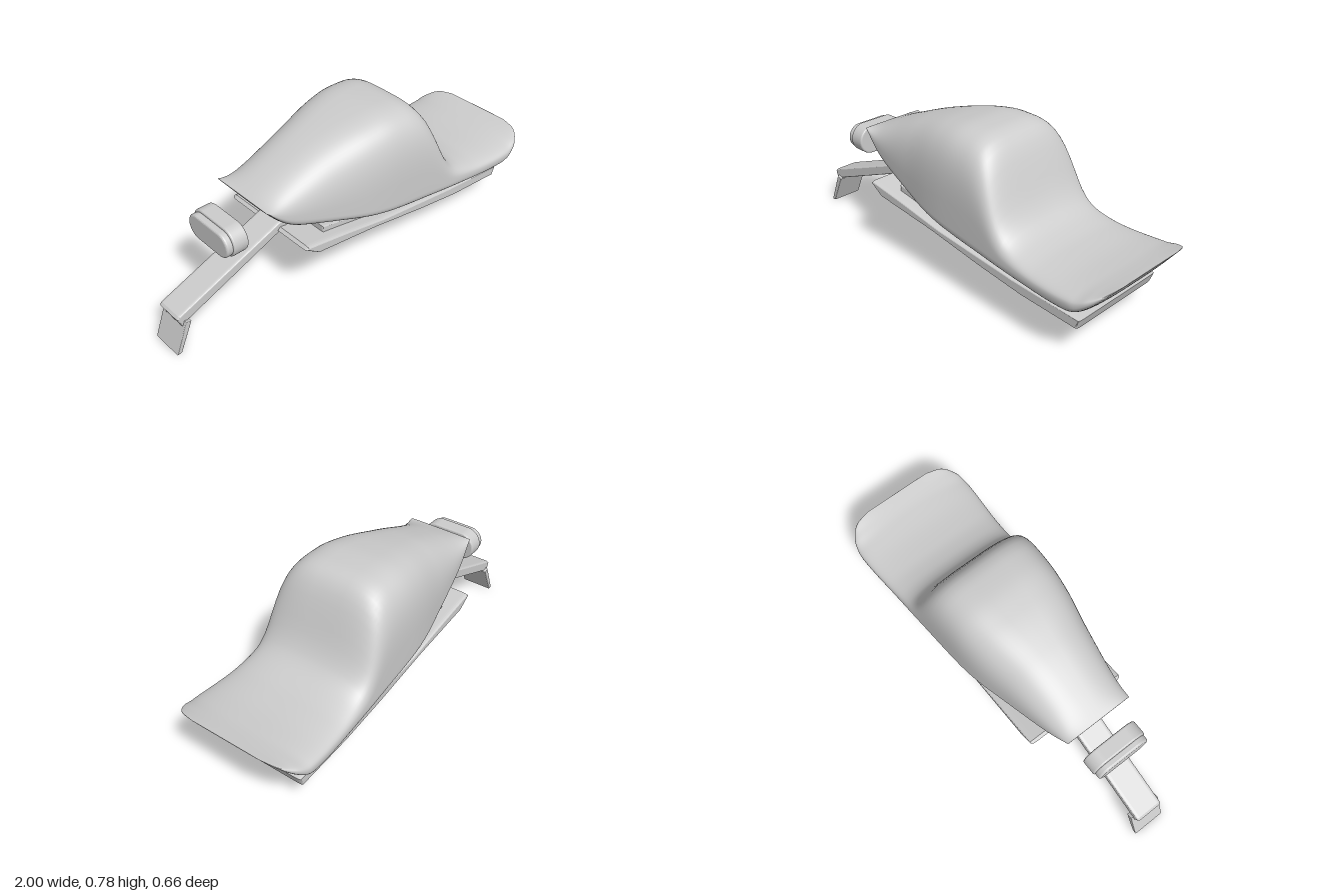
import * as THREE from 'three';

const grey = new THREE.MeshStandardMaterial({ color: 0xcccccc });
grey.name = 'light grey';

// Monotone cubic through [x, value] points
function curve(pts) {
  const n = pts.length;
  const d = [];
  for (let i = 0; i < n - 1; i++) d.push((pts[i + 1][1] - pts[i][1]) / (pts[i + 1][0] - pts[i][0]));
  const m = pts.map((_, i) => {
    if (i === 0) return d[0];
    if (i === n - 1) return d[n - 2];
    return d[i - 1] * d[i] <= 0 ? 0 : (2 * d[i - 1] * d[i]) / (d[i - 1] + d[i]);
  });
  return (x) => {
    let i = 0;
    while (i < n - 2 && x > pts[i + 1][0]) i++;
    const h = pts[i + 1][0] - pts[i][0];
    const t = (x - pts[i][0]) / h, t2 = t * t, t3 = t2 * t;
    return (2 * t3 - 3 * t2 + 1) * pts[i][1] + (t3 - 2 * t2 + t) * h * m[i]
      + (3 * t2 - 2 * t3) * pts[i + 1][1] + (t3 - t2) * h * m[i + 1];
  };
}

// Superelliptic sections along x: top, bottom, widest height and half width
function cushionGeometry() {
  const top = curve([[-0.55, 0.582], [-0.4, 0.645], [-0.2, 0.72], [0, 0.77], [0.13, 0.785], [0.22, 0.781],
    [0.28, 0.764], [0.33, 0.715], [0.38, 0.615], [0.43, 0.5], [0.48, 0.428], [0.55, 0.385], [0.65, 0.361],
    [0.77, 0.354], [0.88, 0.36], [1, 0.379]]);
  const bottom = curve([[-0.55, 0.578], [-0.5, 0.51], [-0.45, 0.455], [-0.4, 0.42], [-0.33, 0.395],
    [-0.2, 0.355], [0, 0.298], [0.2, 0.262], [0.4, 0.238], [0.6, 0.219], [0.82, 0.205], [0.87, 0.228],
    [0.93, 0.285], [1, 0.376]]);
  const mid = curve([[-0.55, 0.58], [-0.45, 0.51], [-0.3, 0.455], [0, 0.375], [0.3, 0.335], [0.5, 0.308],
    [0.7, 0.292], [0.86, 0.296], [0.93, 0.328], [1, 0.3775]]);
  const half = curve([[-0.55, 0.17], [-0.4, 0.2], [-0.2, 0.24], [0, 0.279], [0.1, 0.29], [0.4, 0.306],
    [0.6, 0.316], [0.85, 0.33], [0.91, 0.32], [0.96, 0.287], [0.985, 0.25], [1, 0.18]]);
  const power = curve([[-0.55, 2.4], [-0.2, 2.9], [0.15, 3.8], [0.35, 3.6], [0.5, 2.8], [1, 2.5]]);
  const rows = 110, cols = 72, pos = [], idx = [];
  const pw = (v, e) => Math.sign(v) * Math.pow(Math.abs(v), e);
  for (let i = 0; i <= rows; i++) {
    const x = 0.225 - 0.775 * Math.cos((Math.PI * i) / rows);
    for (let j = 0; j < cols; j++) {
      const a = (2 * Math.PI * j) / cols, s = Math.sin(a);
      const e = 2 / (s >= 0 ? power(x) : 2.6);
      const h = s >= 0 ? top(x) - mid(x) : mid(x) - bottom(x);
      pos.push(x, mid(x) + h * pw(s, e), half(x) * pw(Math.cos(a), e));
    }
  }
  for (let i = 0; i < rows; i++) {
    for (let j = 0; j < cols; j++) {
      const a = i * cols + j, b = i * cols + ((j + 1) % cols);
      idx.push(a, a + cols, b, b, a + cols, b + cols);
    }
  }
  // thin end faces
  const last = rows * cols;
  for (let j = 1; j < cols - 1; j++) idx.push(0, j, j + 1, last, last + j + 1, last + j);
  const g = new THREE.BufferGeometry();
  g.setAttribute('position', new THREE.Float32BufferAttribute(pos, 3));
  g.setIndex(idx);
  g.computeVertexNormals();
  return g;
}

// Side profile in x-y, extruded across z with soft edges
function slab(points, halfWidth, bevelSize, bevelThickness) {
  const shape = new THREE.Shape(points.map(([x, y]) => new THREE.Vector2(x, y)));
  const depth = 2 * (halfWidth - bevelThickness);
  const g = new THREE.ExtrudeGeometry(shape, { depth, bevelSize, bevelThickness, bevelSegments: 4 });
  return g.translate(0, 0, -depth / 2);
}

// Rounded bar seen along x, from x0 to x1
function pill(x0, x1, halfZ, halfY, y, bevel) {
  const r = halfY - bevel, w = halfZ - halfY;
  const shape = new THREE.Shape();
  shape.absarc(w, 0, r, -Math.PI / 2, Math.PI / 2, false);
  shape.absarc(-w, 0, r, Math.PI / 2, Math.PI * 1.5, false);
  shape.closePath();
  const g = new THREE.ExtrudeGeometry(shape, {
    depth: x1 - x0 - 2 * bevel, bevelSize: bevel, bevelThickness: bevel, bevelSegments: 3, curveSegments: 20,
  });
  return g.rotateY(Math.PI / 2).translate(x0 + bevel, y, 0);
}

export function createModel() {
  const model = new THREE.Group();
  model.name = 'saddle assembly';
  const add = (name, geometry, parent = model) => {
    const mesh = new THREE.Mesh(geometry, grey);
    mesh.name = name;
    parent.add(mesh);
  };

  add('saddleCushion', cushionGeometry());

  // Base pan and the spacer between pan and cushion
  add('basePan', slab([[-0.41, 0.362], [-0.345, 0.318], [0, 0.269], [0.3, 0.213], [0.55, 0.174], [0.84, 0.15],
    [0.855, 0.187], [0.5, 0.218], [0.05, 0.278], [-0.2, 0.329], [-0.405, 0.366]], 0.26, 0.008, 0.025));
  add('spacer', slab([[-0.27, 0.335], [0.05, 0.27], [0.5, 0.21], [0.78, 0.185], [0.78, 0.22], [0.5, 0.24],
    [0.05, 0.305], [-0.27, 0.375]], 0.2, 0.005, 0.01));

  // Rear arm with a hanging plate
  add('rearArm', slab([[-0.945, 0.139], [-0.92, 0.158], [-0.35, 0.378], [-0.33, 0.405], [-0.4, 0.396],
    [-0.955, 0.188], [-0.962, 0.18]], 0.068, 0.006, 0.015));
  add('hangingPlate', slab([[-0.994, 0.008], [-0.978, 0.01], [-0.915, 0.15], [-0.935, 0.158]], 0.081, 0.004, 0.005));

  // Tail lamp
  const lamp = new THREE.Group();
  lamp.name = 'tailLamp';
  model.add(lamp);
  add('lampLens', pill(-0.737, -0.7, 0.137, 0.062, 0.465, 0.01), lamp);
  add('lampHousing', pill(-0.706, -0.63, 0.144, 0.072, 0.466, 0.008), lamp);

  return model;
}
